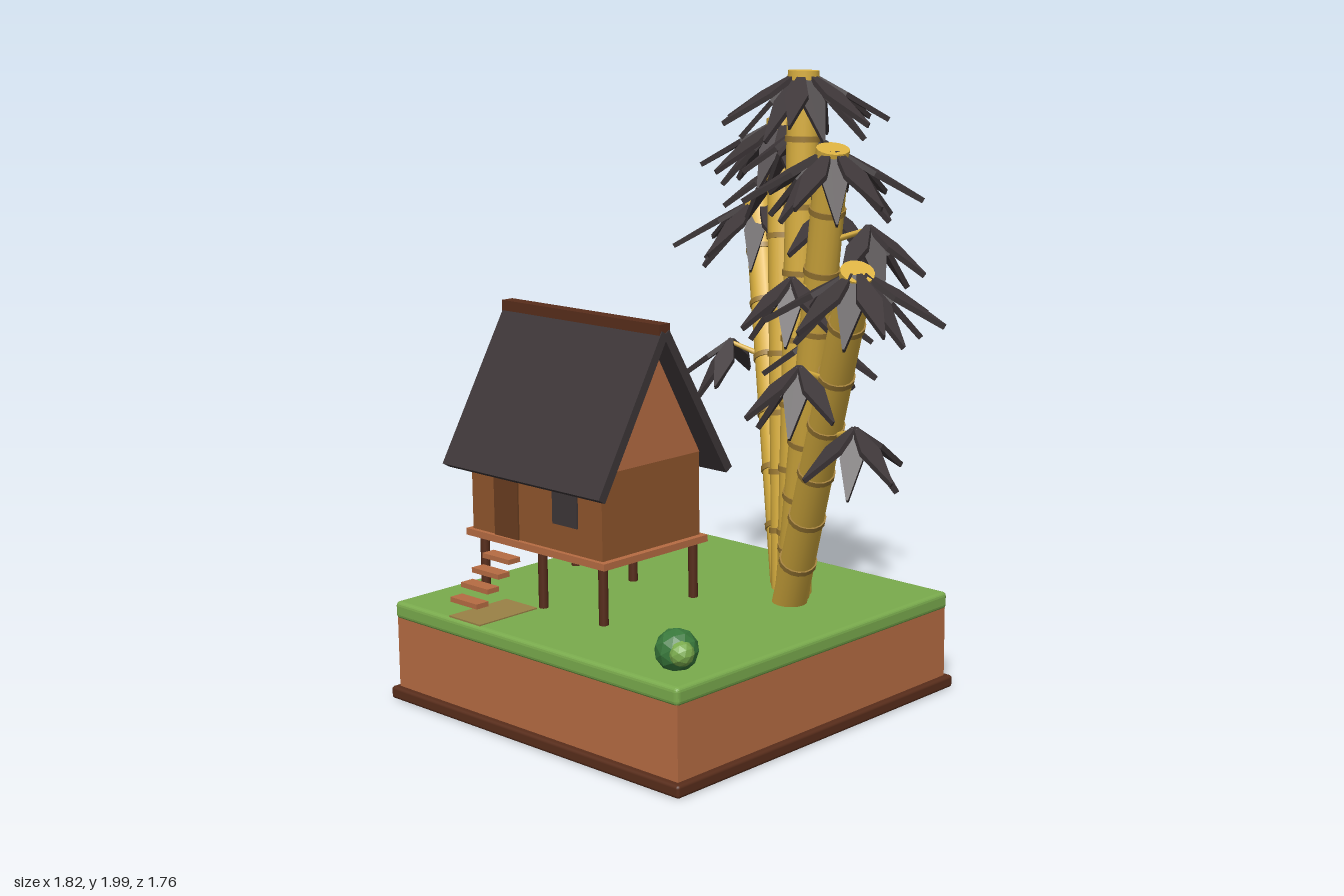
import * as THREE from 'three';
import { mergeGeometries } from 'three/addons/utils/BufferGeometryUtils.js';
import { RoundedBoxGeometry } from 'three/addons/geometries/RoundedBoxGeometry.js';

const mat = (name, color, extra = {}) => {
  const m = new THREE.MeshStandardMaterial({ color, ...extra });
  m.name = name;
  return m;
};

export function createModel() {
  const M = {
    clay: mat('clay', 0xb66c43),
    darkWood: mat('dark wood', 0x582d1b),
    grass: mat('grass', 0x7aab4d, { flatShading: true }),
    wall: mat('wall wood', 0x90552c),
    door: mat('door wood', 0x693d20),
    charcoal: mat('charcoal', 0x3d3638, { flatShading: true }),
    gold: mat('golden bamboo', 0xdab040),
    node: mat('bamboo node', 0x9c7a34),
    bush: mat('bush green', 0x38783b, { flatShading: true }),
    path: mat('path', 0x9a8146),
  };
  const root = new THREE.Group();
  root.name = 'stiltHouseDiorama';

  const add = (parent, name, geo, material, x = 0, y = 0, z = 0) => {
    const m = new THREE.Mesh(geo, material);
    m.name = name;
    m.position.set(x, y, z);
    parent.add(m);
    return m;
  };
  // Box given by its limits on each axis
  const box = (parent, name, material, x0, x1, y0, y1, z0, z1) =>
    add(parent, name, new THREE.BoxGeometry(x1 - x0, y1 - y0, z1 - z0), material,
      (x0 + x1) / 2, (y0 + y1) / 2, (z0 + z1) / 2);
  const group = (name) => {
    const g = new THREE.Group();
    g.name = name;
    root.add(g);
    return g;
  };

  // Ground block
  const ground = group('ground');
  const CX = -0.23, CZ = 0.24;
  add(ground, 'plinth', new RoundedBoxGeometry(1.28, 0.04, 1.28, 2, 0.01), M.darkWood, CX, 0.023, CZ);
  add(ground, 'soil', new THREE.BoxGeometry(1.238, 0.24, 1.238), M.clay, CX, 0.152, CZ);
  add(ground, 'lawn', new RoundedBoxGeometry(1.25, 0.056, 1.25, 2, 0.014), M.grass, CX, 0.297, CZ);
  box(ground, 'path', M.path, -0.6, -0.455, 0.322, 0.329, 0.62, 0.855);

  // House on stilts
  const house = group('house');
  const HX = -0.4525, HZ = 0.405;
  for (const x of [-0.725, -0.452, -0.18])
    for (const z of [0.2, 0.595])
      add(house, 'stilt', new THREE.CylinderGeometry(0.015, 0.015, 0.2, 8), M.darkWood, x, 0.42, z);
  box(house, 'platform', M.clay, -0.768, -0.133, 0.513, 0.535, 0.18, 0.635);
  box(house, 'walls', M.wall, -0.75, -0.155, 0.535, 0.805, 0.195, 0.62);
  box(house, 'door', M.door, -0.64, -0.53, 0.535, 0.75, 0.619, 0.626);
  box(house, 'frontWindow', M.charcoal, -0.37, -0.26, 0.62, 0.73, 0.619, 0.626);
  box(house, 'sideWindow', M.charcoal, -0.757, -0.749, 0.62, 0.73, 0.35, 0.46);

  // Gable prism running between the end walls
  const tri = new THREE.Shape([[-0.2125, 0], [0.2125, 0], [0, 0.385]].map(p => new THREE.Vector2(...p)));
  const gable = new THREE.ExtrudeGeometry(tri, { depth: 0.595, bevelEnabled: false });
  gable.translate(0, 0, -0.2975);
  gable.rotateY(Math.PI / 2);
  add(house, 'gable', gable, M.clay, HX, 0.805, HZ);

  // Two sloping roof slabs and the ridge beam
  const run = 0.275, rise = 0.474, len = Math.hypot(run, rise);
  for (const s of [1, -1]) {
    const slab = add(house, 'roofSlope', new THREE.BoxGeometry(0.716, 0.03, len), M.charcoal,
      HX, 1.217 - rise / 2, 0.3985 + s * (run / 2 + 0.003));
    slab.rotation.x = s * Math.atan2(rise, run);
  }
  box(house, 'ridge', M.darkWood, -0.812, -0.098, 1.2, 1.245, 0.377, 0.422);

  // Steps up to the platform
  for (let i = 0; i < 4; i++) {
    const z = 0.783 - i * 0.045, y = 0.36 + i * 0.038;
    box(house, 'step', M.clay, -0.65, -0.525, y - 0.008, y + 0.008, z - 0.024, z + 0.024);
  }

  // Bushes: a large dark ball with a small light one beside it
  for (const [x, z, dx, dz] of [[-0.75, -0.22, 0.039, 0.02], [0.258, 0.725, 0.04, 0.022]]) {
    const b = group('bush');
    add(b, 'bushLarge', new THREE.IcosahedronGeometry(0.066, 1), M.bush, x, 0.375, z);
    add(b, 'bushSmall', new THREE.IcosahedronGeometry(0.039, 1), M.grass, x + dx, 0.378, z + dz);
  }

  // Pointed leaf plate: grows along +x, droops, then turns about y
  const leaf = (length, width, droop, turn, origin, start = 0.02) => {
    const s = new THREE.Shape();
    s.moveTo(0, -0.008);
    s.lineTo(length * 0.42, -width / 2);
    s.lineTo(length, -0.003);
    s.lineTo(length, 0.003);
    s.lineTo(length * 0.42, width / 2);
    s.lineTo(0, 0.008);
    const g = new THREE.ExtrudeGeometry(s, { depth: 0.016, bevelEnabled: false });
    g.rotateX(-Math.PI / 2);
    g.rotateZ(-droop);
    g.translate(start, 0, 0);
    g.rotateY(turn);
    g.translate(origin.x, origin.y, origin.z);
    return g;
  };

  // Bamboo: base, tip, crown leaf length, and twig ends [x, y, z]
  const V = (x, y, z) => new THREE.Vector3(x, y, z);
  const culms = [
    { base: V(-0.06, 0.32, -0.12), tip: V(-0.625, 1.5, -0.605), size: 0.315,
      twigs: [[-0.46, 1.22, -0.63], [-0.51, 1.04, -0.34]] },
    { base: V(-0.02, 0.32, -0.08), tip: V(-0.245, 1.815, -0.3), size: 0.29,
      twigs: [[-0.33, 1.645, -0.37], [-0.06, 1.23, -0.27]] },
    { base: V(0.03, 0.32, -0.05), tip: V(0.04, 1.99, -0.08), size: 0.285,
      twigs: [[0.15, 1.57, -0.07], [-0.06, 1.79, -0.17]] },
    { base: V(0.055, 0.32, -0.01), tip: V(0.425, 1.795, 0.235), size: 0.275,
      twigs: [[0.49, 1.56, 0.15], [0.22, 1.2, 0.05], [0.29, 1.4, 0.26]] },
    { base: V(0.08, 0.32, 0.03), tip: V(0.68, 1.485, 0.43), size: 0.265,
      twigs: [[0.55, 0.99, 0.28], [0.46, 1.18, 0.42]] },
  ];
  const UP = V(0, 1, 0);
  culms.forEach(({ base, tip, size, twigs }, k) => {
    const g = group('bambooStalk');
    const axis = tip.clone().sub(base), L = axis.length();
    const dir = axis.clone().normalize();
    const radius = (t) => 0.056 - 0.007 * t;
    const n = Math.round(L / 0.2);

    // Jointed stem with a ring at each joint
    const stem = new THREE.Group();
    stem.name = 'stem';
    stem.position.copy(base);
    stem.quaternion.setFromUnitVectors(UP, dir);
    g.add(stem);
    add(stem, 'cane', new THREE.CylinderGeometry(radius(1), radius(0), L, 16), M.gold, 0, L / 2, 0);
    for (let i = 1; i < n; i++) {
      const r = radius(i / n) + 0.005;
      add(stem, 'joint', new THREE.CylinderGeometry(r, r, 0.018, 16), M.node, 0, i * L / n, 0);
    }

    // Crown of alternating shallow and steep leaves
    const leaves = [];
    const crown = tip.clone().addScaledVector(dir, -0.02);
    for (let i = 0; i < 13; i++) {
      const steep = i % 2;
      leaves.push(leaf(size * (steep ? 0.9 : 1), 0.072, steep ? 0.85 : 0.52,
        i * Math.PI * 2 / 13 + k * 0.7, crown));
    }

    // Twigs, each ending in a drooping fan of leaves
    for (const [x, y, z] of twigs) {
      const end = V(x, y, z);
      const t = (y - 0.05 - base.y) / axis.y;
      const from = base.clone().addScaledVector(axis, t);
      const span = end.clone().sub(from);
      const twig = add(g, 'twig', new THREE.CylinderGeometry(0.007, 0.011, span.length(), 6), M.gold);
      twig.position.copy(from).addScaledVector(span, 0.5);
      twig.quaternion.setFromUnitVectors(UP, span.clone().normalize());
      const heading = Math.atan2(-span.z, span.x);
      for (let i = -2; i <= 2; i++)
        leaves.push(leaf(0.22, 0.068, i % 2 ? 0.98 : 0.64, heading + i * 0.8, end, -0.005));
    }
    add(g, 'leaves', mergeGeometries(leaves), M.charcoal);
  });

  return root;
}
